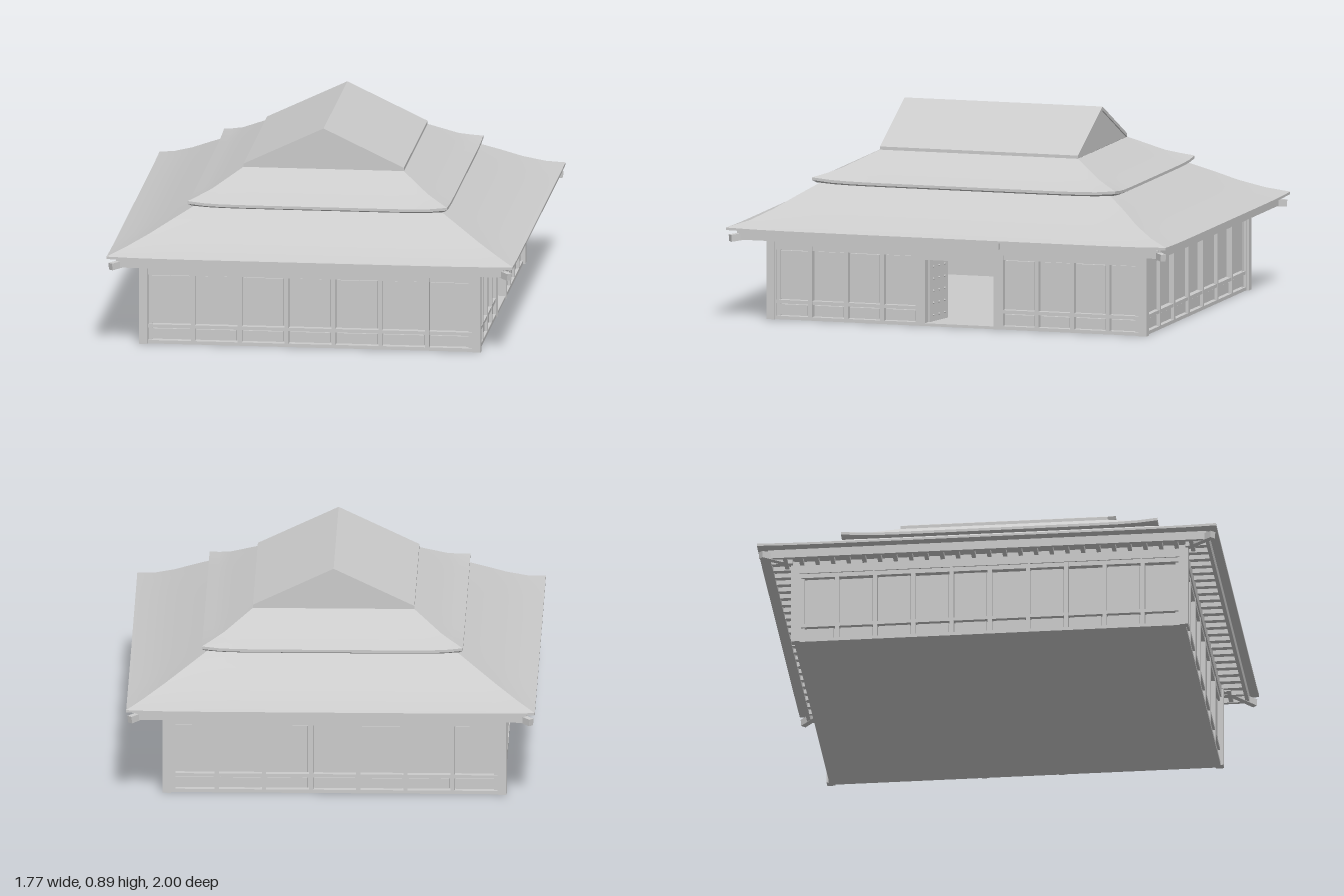
import * as THREE from 'three';

const grey = new THREE.MeshStandardMaterial({ color: 0xcccccc, side: THREE.DoubleSide });

function add(parent, name, geometry, x = 0, y = 0, z = 0) {
  const mesh = new THREE.Mesh(geometry, grey);
  mesh.name = name;
  mesh.position.set(x, y, z);
  parent.add(mesh);
  return mesh;
}

// Box given by its lower and upper limits on each axis
function block(parent, name, x0, x1, y0, y1, z0, z1) {
  return add(parent, name, new THREE.BoxGeometry(x1 - x0, y1 - y0, z1 - z0),
    (x0 + x1) / 2, (y0 + y1) / 2, (z0 + z1) / 2);
}

// Four-sided hipped surface through rectangular rings [x half, z back, z front, y, corner lift]
function hipSkin(parent, name, rings) {
  const steps = 16;
  const pos = [], index = [];
  for (let side = 0; side < 4; side++) {
    const base = pos.length / 3;
    for (const [hx, z0, z1, y, lift] of rings) {
      const corners = [[-hx, z1], [hx, z1], [hx, z0], [-hx, z0]];
      const a = corners[side], b = corners[(side + 1) % 4];
      for (let i = 0; i <= steps; i++) {
        const u = i / steps;
        pos.push(a[0] + (b[0] - a[0]) * u, y + lift * Math.abs(2 * u - 1) ** 8, a[1] + (b[1] - a[1]) * u);
      }
    }
    for (let r = 0; r < rings.length - 1; r++) {
      for (let i = 0; i < steps; i++) {
        const p = base + r * (steps + 1) + i, q = p + steps + 1;
        index.push(p, p + 1, q + 1, p, q + 1, q);
      }
    }
  }
  const geometry = new THREE.BufferGeometry();
  geometry.setAttribute('position', new THREE.Float32BufferAttribute(pos, 3));
  geometry.setIndex(index);
  geometry.computeVertexNormals();
  add(parent, name, geometry);
}

// Run of panelled bays from x = a to b, outer face at z = 0
function panelRun(wall, a, b, bays) {
  const pitch = (b - a) / bays, half = 0.009;
  block(wall, 'wallPanel', a, b, 0, 0.35, -0.045, -0.03);
  block(wall, 'sill', a, b, 0, 0.015, -0.045, 0);
  block(wall, 'middleRail', a, b, 0.07, 0.085, -0.045, -0.002);
  block(wall, 'topRail', a, b, 0.305, 0.325, -0.045, -0.002);
  for (let i = 0; i <= bays; i++) {
    const x = a + i * pitch;
    block(wall, 'post', x - half, x + half, 0, 0.33, -0.045, 0);
    if (i === bays) break;
    const x0 = x + half + 0.006, x1 = x + pitch - half - 0.006;
    const depth = i % 2 ? -0.022 : -0.014;
    block(wall, 'shutter', x0, x1, 0.09, 0.3, -0.032, depth);
    block(wall, 'lowerPanel', x0, x1, 0.02, 0.065, -0.032, -0.012);
  }
}

function makeWall(parent, name, x, z, turn, half, runs) {
  const wall = new THREE.Group();
  wall.name = name;
  wall.position.set(x, 0, z);
  wall.rotation.y = turn;
  block(wall, 'wallPlate', -half, half, 0.325, 0.38, -0.045, 0.004);
  runs.forEach(([a, b, bays]) => panelRun(wall, a, b, bays));
  parent.add(wall);
  return wall;
}

export function createModel() {
  const model = new THREE.Group();
  model.name = 'hall';
  const cx = -0.015, hx = 0.735, hz = 0.852;

  // Floor and corner posts
  block(model, 'floor', cx - hx, cx + hx, 0, 0.012, -hz, hz);
  for (const sx of [-1, 1]) {
    for (const sz of [-1, 1]) {
      const px = cx + sx * (hx - 0.008), pz = sz * (hz - 0.006);
      block(model, 'cornerPost', px - 0.018, px + 0.018, 0, 0.37, pz - 0.018, pz + 0.018);
    }
  }

  // Walls; the right one leaves a gap for the gateway
  const ends = [[-0.715, 0.715, 7]];
  makeWall(model, 'frontWall', cx, hz, 0, hx, ends);
  makeWall(model, 'backWall', cx, -hz, Math.PI, hx, ends);
  makeWall(model, 'plainSideWall', cx - hx, 0, -Math.PI / 2, hz, [[-0.832, 0.832, 10]]);
  const gate = makeWall(model, 'gateSideWall', cx + hx, 0, Math.PI / 2, hz,
    [[-0.832, -0.18, 4], [0.198, 0.845, 4]]);

  // Gateway with two studded doors swung inwards
  block(gate, 'gateLintel', -0.19, 0.21, 0.29, 0.33, -0.05, 0.004);
  for (const s of [-1, 1]) {
    const jamb = 0.01 + s * 0.168;
    block(gate, 'gatePost', jamb - 0.012, jamb + 0.012, 0, 0.33, -0.05, 0.004);
    const door = new THREE.Group();
    door.name = 'door';
    door.position.set(0.01 + s * 0.152, 0, -0.04);
    door.rotation.y = s * 0.2;
    block(door, 'doorLeaf', -0.005, 0.005, 0.012, 0.29, -0.16, 0);
    for (let row = 0; row < 5; row++) {
      for (let col = 0; col < 3; col++) {
        add(door, 'stud', new THREE.SphereGeometry(0.005, 8, 6), -s * 0.006, 0.04 + row * 0.053, -0.03 - col * 0.05);
      }
    }
    gate.add(door);
  }

  // Eave frame: ceiling, fascia beams, rafters and corner rafters
  const ex = 0.84, ez = 0.955;
  block(model, 'ceiling', -ex, ex, 0.383, 0.398, -ez, ez);
  for (const s of [-1, 1]) {
    block(model, 'endFascia', -ex, ex, 0.36, 0.398, s * ez - 0.008, s * ez + 0.008);
    block(model, 'sideFascia', s * ex - 0.008, s * ex + 0.008, 0.36, 0.398, -ez, ez);
    for (let i = -11; i <= 11; i++) {
      const x = i * 0.07, z = s * 0.905;
      block(model, 'endRafter', x - 0.009, x + 0.009, 0.363, 0.385, z - 0.05, z + 0.05);
    }
    for (let i = -13; i <= 13; i++) {
      const x = s * 0.78, z = i * 0.068;
      block(model, 'sideRafter', x - 0.06, x + 0.06, 0.363, 0.385, z - 0.009, z + 0.009);
    }
    for (const t of [-1, 1]) {
      const rafter = add(model, 'cornerRafter', new THREE.BoxGeometry(0.025, 0.03, 0.24), s * 0.785, 0.378, t * 0.9);
      rafter.rotation.order = 'YXZ';
      rafter.rotation.set(0.08, Math.atan2(s, t), 0);
    }
  }
  block(model, 'gateEaveBoard', 0.848, 0.866, 0.37, 0.404, -0.235, 0.2);

  // Broad lower roof with a sagging slope
  const low = [0.885, -1, 1];
  hipSkin(model, 'lowerRoofUnderside', [[0.7, -0.8, 0.8, 0.425, 0], [...low, 0.401, 0.004]]);
  hipSkin(model, 'lowerRoofEdge', [[...low, 0.401, 0.004], [...low, 0.411, 0.005]]);
  hipSkin(model, 'lowerRoof', [
    [...low, 0.411, 0.005], [0.81, -0.91, 0.915, 0.437, 0.005], [0.72, -0.815, 0.835, 0.479, 0.004],
    [0.63, -0.73, 0.76, 0.528, 0.003], [0.53, -0.63, 0.675, 0.583, 0]]);

  // Upper hipped roof with raised corners
  const up = [0.565, -0.668, 0.71];
  hipSkin(model, 'upperRoofUnderside', [[0.51, -0.61, 0.655, 0.575, 0], [0.55, -0.653, 0.695, 0.573, 0.008], [...up, 0.58, 0.012]]);
  hipSkin(model, 'upperRoofEdge', [[...up, 0.58, 0.012], [...up, 0.592, 0.012]]);
  hipSkin(model, 'upperRoof', [
    [...up, 0.592, 0.012], [0.52, -0.618, 0.658, 0.613, 0.006],
    [0.47, -0.563, 0.605, 0.636, 0.002], [0.35, -0.43, 0.47, 0.706, 0]]);

  // Gable roof on top: chevron slab over a triangular core
  const prism = (name, points, z0, z1) => {
    const shape = new THREE.Shape(points.map(([x, y]) => new THREE.Vector2(x, y)));
    add(model, name, new THREE.ExtrudeGeometry(shape, { depth: z1 - z0, bevelEnabled: false }), 0, 0, z0);
  };
  prism('gableRoof', [[-0.35, 0.705], [0, 0.87], [0.35, 0.705], [0.35, 0.72], [0, 0.886], [-0.35, 0.72]], -0.43, 0.47);
  prism('gableWall', [[-0.35, 0.704], [0.35, 0.704], [0, 0.871]], -0.424, 0.464);

  return model;
}
